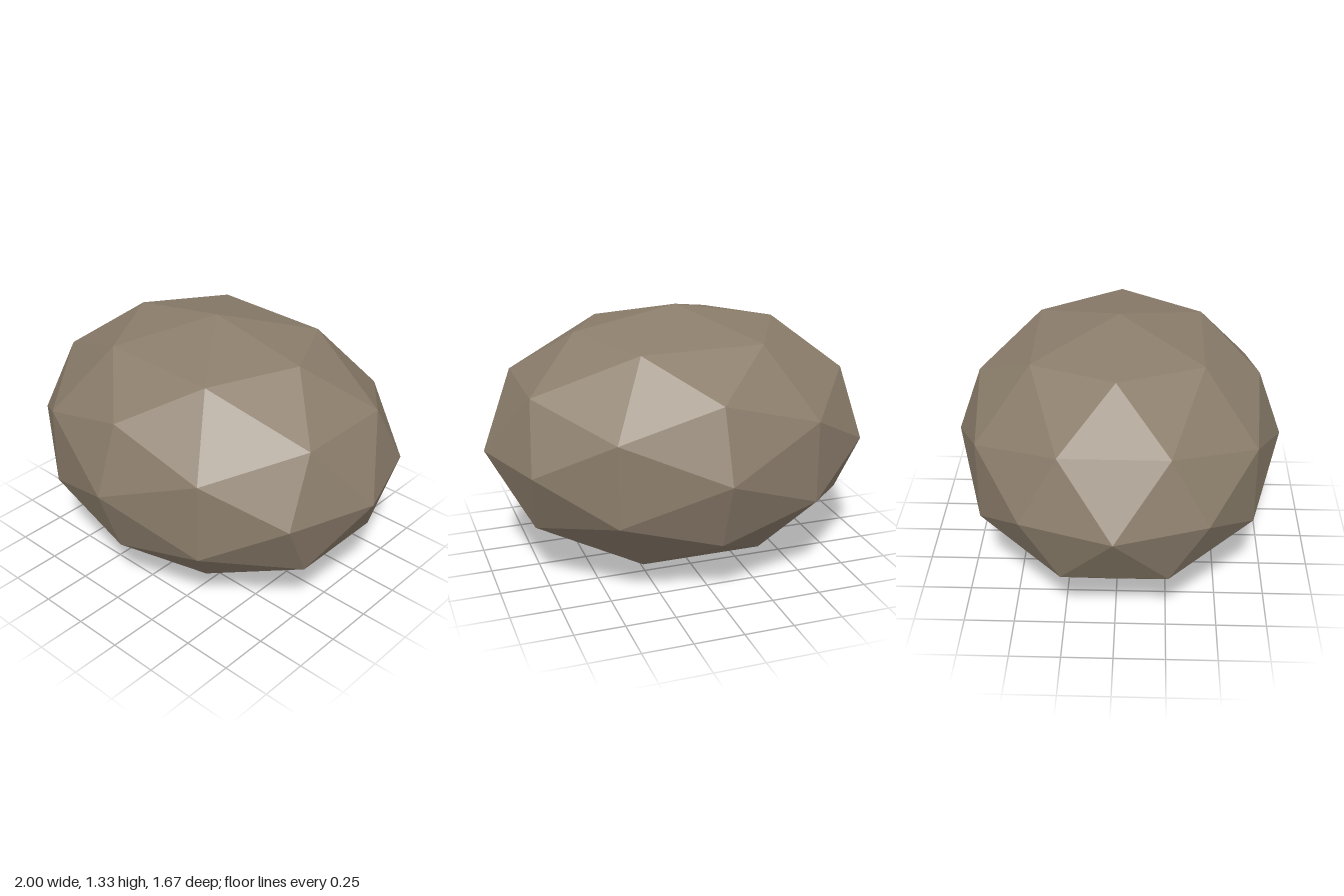
import * as THREE from 'three';

export function createModel() {
  const group = new THREE.Group();
  group.name = 'rock';

  const stone = new THREE.MeshStandardMaterial({ color: 0x8b7d6b, flatShading: true });
  stone.name = 'stone';

  // Faceted boulder: a subdivided icosahedron squashed to an ellipsoid, resting on y = 0
  const halfHeight = 2 / 3;
  const geometry = new THREE.IcosahedronGeometry(1, 1);
  geometry.scale(1, halfHeight, 5 / 6);
  geometry.translate(0, halfHeight, 0);
  geometry.computeVertexNormals(); // unindexed, so each facet gets its own normal

  const boulder = new THREE.Mesh(geometry, stone);
  boulder.name = 'boulder';
  group.add(boulder);
  return group;
}
